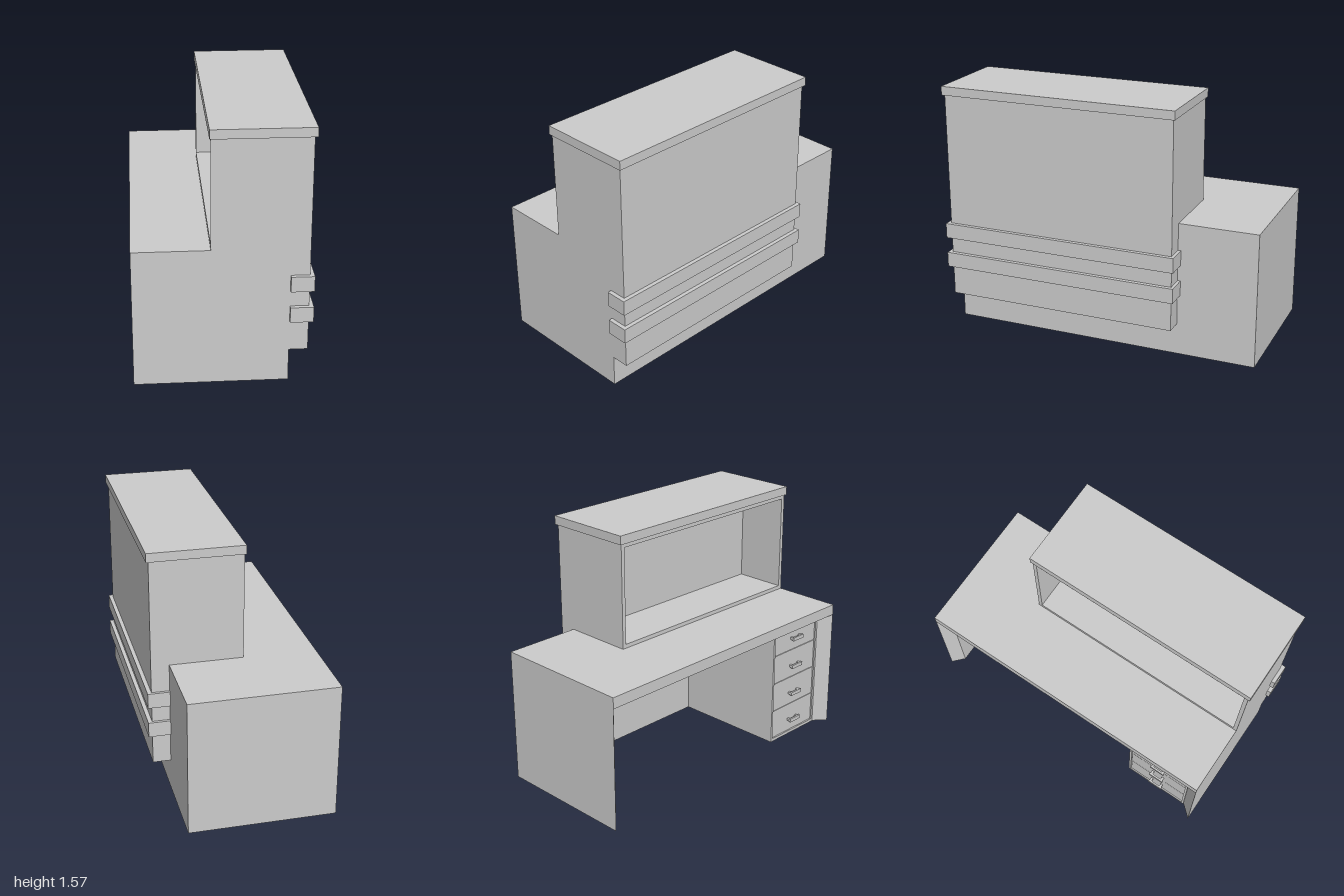
import * as THREE from 'three';

const material = new THREE.MeshStandardMaterial({ color: 0xcccccc, flatShading: true });

export function createModel() {
  const root = new THREE.Group();
  root.name = 'receptionDesk';

  // Box given by its extents along each axis
  function box(name, [x0, x1], [y0, y1], [z0, z1], parent = root) {
    const mesh = new THREE.Mesh(new THREE.BoxGeometry(x1 - x0, y1 - y0, z1 - z0), material);
    mesh.position.set((x0 + x1) / 2, (y0 + y1) / 2, (z0 + z1) / 2);
    mesh.name = name;
    parent.add(mesh);
    return mesh;
  }

  // Desk walls: U-shaped plan with chamfered free edges, as [x, z]
  const plan = [
    [0.38, -1], [0.38, 0.975], [-0.52, 0.975], [-0.45, 0.895], [0.3, 0.895],
    [0.3, -0.935], [-0.45, -0.935], [-0.52, -1],
  ];
  const shape = new THREE.Shape(plan.map(([x, z]) => new THREE.Vector2(x, -z)));
  const walls = new THREE.Mesh(
    new THREE.ExtrudeGeometry(shape, { depth: 0.78, bevelEnabled: false }), material);
  walls.rotation.x = -Math.PI / 2;
  walls.name = 'deskWalls';
  root.add(walls);
  box('desktop', [-0.52, 0.38], [0.78, 0.85], [-1, 0.975]);

  // Drawer pedestal: body, face frame, inset drawers and handles
  const pedestal = new THREE.Group();
  pedestal.name = 'pedestal';
  root.add(pedestal);
  const z0 = 0.455, z1 = 0.895, face = [-0.455, -0.435];
  box('pedestalBody', [-0.435, 0.3], [0, 0.78], [z0, z1], pedestal);
  box('frameStile', face, [0, 0.78], [z0, z0 + 0.015], pedestal);
  box('frameStile', face, [0, 0.78], [z1 - 0.015, z1], pedestal);
  box('frameRail', face, [0, 0.02], [z0 + 0.015, z1 - 0.015], pedestal);
  for (let i = 0; i < 4; i++) {
    const y = 0.103 + i * 0.196, zc = (z0 + z1) / 2;
    box('drawerFront', [-0.447, -0.435], [y - 0.081, y + 0.111], [z0 + 0.017, z1 - 0.017], pedestal);
    box('drawerHandle', [-0.478, -0.466], [y - 0.012, y + 0.012], [zc - 0.05, zc + 0.05], pedestal);
    for (const s of [-1, 1]) {
      const zp = zc + s * 0.038;
      box('handlePost', [-0.468, -0.445], [y - 0.008, y + 0.008], [zp - 0.008, zp + 0.008], pedestal);
    }
  }

  // Hutch: open shelf facing the seat
  const hutch = new THREE.Group();
  hutch.name = 'hutch';
  root.add(hutch);
  const hx = [-0.072, 0.38], t = 0.025;
  box('hutchFloor', hx, [0.85, 0.85 + t], [-0.505, 0.975], hutch);
  box('hutchCeiling', hx, [1.51 - t, 1.51], [-0.505, 0.975], hutch);
  box('hutchSide', hx, [0.85 + t, 1.51 - t], [-0.505, -0.505 + t], hutch);
  box('hutchSide', hx, [0.85 + t, 1.51 - t], [0.975 - t, 0.975], hutch);
  box('hutchBack', [0.265, 0.38], [0.85 + t, 1.51 - t], [-0.505 + t, 0.975 - t], hutch);
  box('hutchTop', [-0.08, 0.505], [1.51, 1.565], [-0.517, 0.988], hutch);

  // Raised public-side panel with two trim bands
  box('outerPanel', [0.38, 0.49], [0.2, 1.51], [-0.505, 0.975]);
  for (const y of [0.39, 0.585]) {
    box('trimBand', [0.38, 0.515], [y, y + 0.095], [-0.523, 1]);
  }
  return root;
}
